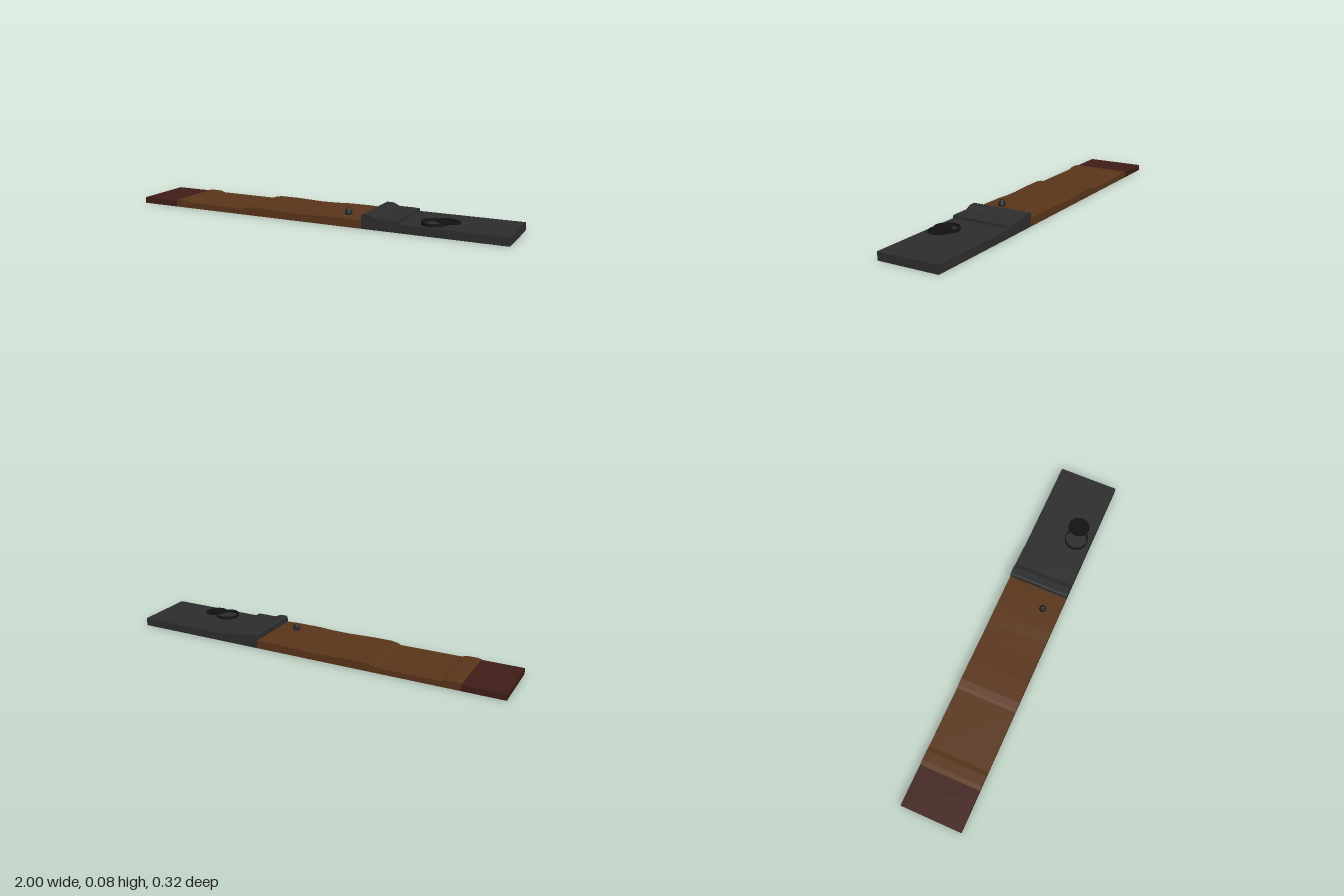
import * as THREE from 'three';

const HALF_DEPTH = 0.158;

const material = (color, extra = {}) => new THREE.MeshStandardMaterial({ color, ...extra });

// Solid slab with the given top profile, standing on y = 0, running across z
function profileSlab(name, top, mat) {
  const shape = new THREE.Shape();
  shape.moveTo(top[0][0], 0);
  shape.lineTo(top[top.length - 1][0], 0);
  for (const [x, y] of [...top].reverse()) shape.lineTo(x, y);
  shape.closePath();
  const geo = new THREE.ExtrudeGeometry(shape, { depth: 2 * HALF_DEPTH, bevelEnabled: false });
  geo.translate(0, 0, -HALF_DEPTH);
  const mesh = new THREE.Mesh(geo, mat);
  mesh.name = name;
  return mesh;
}

export function createModel() {
  const model = new THREE.Group();
  model.name = 'plank';
  const red = material(0x3f1d16, { flatShading: true });
  const brown = material(0x59351a, { flatShading: true });
  const grey = material(0x2d2d2d, { flatShading: true });
  const black = material(0x111111);
  const blackThin = material(0x111111, { side: THREE.DoubleSide });

  // Low end section
  model.add(profileSlab('endSection', [[-1, 0.031], [-0.79, 0.031]], red));

  // Uneven middle ground with a low ridge and a raised stretch
  model.add(profileSlab('middleSection', [
    [-0.79, 0.035], [-0.765, 0.038], [-0.715, 0.037], [-0.69, 0.029],
    [-0.37, 0.028], [-0.355, 0.036], [-0.32, 0.042], [-0.21, 0.042],
    [-0.08, 0.037], [0.01, 0.038], [0.08, 0.042], [0.2, 0.043], [0.29, 0.04],
  ], brown));

  // Flat deck with its stepped wall
  model.add(profileSlab('deckSection', [
    [0.29, 0.066], [0.297, 0.072], [0.335, 0.071], [0.365, 0.056],
    [0.45, 0.056], [0.472, 0.054], [0.472, 0.041], [1, 0.041],
  ], grey));

  // Small pointed stone
  const stone = new THREE.Mesh(new THREE.LatheGeometry([
    [0, 0.036], [0.018, 0.038], [0.019, 0.051], [0.014, 0.066], [0.007, 0.074], [0, 0.077],
  ].map(([x, y]) => new THREE.Vector2(x, y)), 10), material(0x222222, { flatShading: true }));
  stone.name = 'stone';
  stone.position.set(0.185, 0, 0.07);
  model.add(stone);

  // Open round shaft rim
  const rim = new THREE.Mesh(new THREE.LatheGeometry([
    [0.056, 0.041], [0.061, 0.041], [0.061, 0.057], [0.056, 0.057], [0.056, 0.041],
  ].map(([x, y]) => new THREE.Vector2(x, y)), 32), material(0x151515, { side: THREE.DoubleSide, flatShading: true }));
  rim.name = 'shaftRim';
  rim.position.set(0.626, 0, 0.078);
  model.add(rim);

  // Lid pushed aside, tipped over the rim
  const lid = new THREE.Group();
  lid.name = 'lid';
  lid.position.set(0.692, 0.06, 0.066);
  lid.rotation.z = -0.05;
  const plate = new THREE.Mesh(new THREE.CylinderGeometry(0.056, 0.056, 0.004, 32), black);
  plate.name = 'lidPlate';
  lid.add(plate);
  for (const r of [0.022, 0.044]) {
    const ridge = new THREE.Mesh(new THREE.RingGeometry(r - 0.004, r, 24), blackThin);
    ridge.name = 'lidRidge';
    ridge.rotation.x = -Math.PI / 2;
    ridge.position.y = 0.0026;
    lid.add(ridge);
  }
  model.add(lid);
  return model;
}
